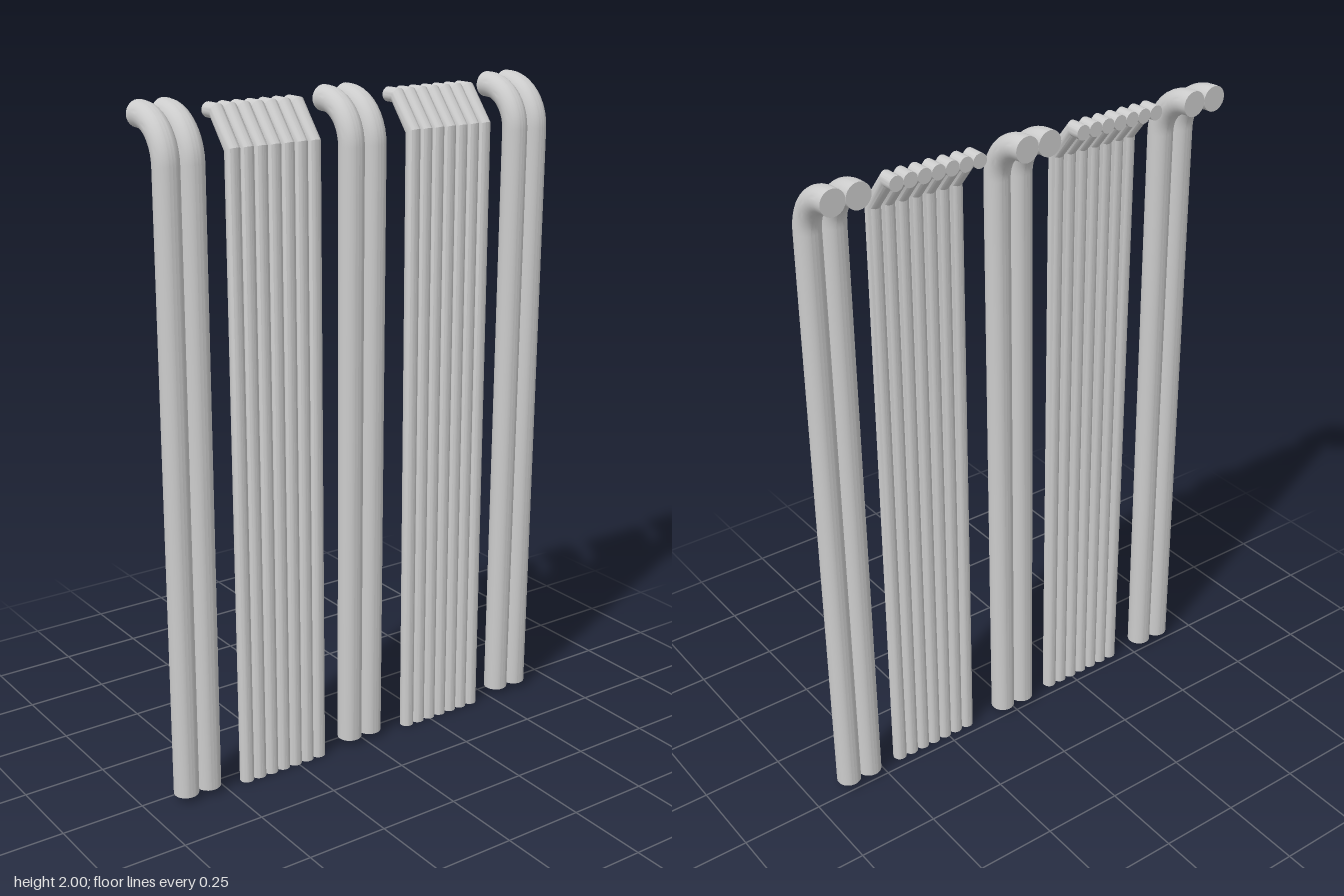
import * as THREE from 'three';
import { toCreasedNormals } from 'three/addons/utils/BufferGeometryUtils.js';

const material = new THREE.MeshStandardMaterial({ color: 0xcccccc });
const SIDES = 24;

// Capped round pipe along a [z, y] path, with mitred joints.
function pipeGeometry(path, radius) {
  const pts = path.map(([z, y]) => new THREE.Vector2(z, y));
  const dirs = pts.slice(1).map((p, i) => p.clone().sub(pts[i]).normalize());
  const pos = [], idx = [];
  pts.forEach((p, k) => {
    const a = dirs[Math.max(k - 1, 0)], b = dirs[Math.min(k, dirs.length - 1)];
    const t = a.clone().add(b).normalize();
    const stretch = radius / t.dot(a);
    for (let i = 0; i < SIDES; i++) {
      const ang = (i / SIDES) * Math.PI * 2;
      const s = Math.sin(ang) * stretch;
      pos.push(Math.cos(ang) * radius, p.y + t.x * s, p.x - t.y * s);
    }
  });
  for (let k = 0; k < pts.length - 1; k++) {
    for (let i = 0; i < SIDES; i++) {
      const j = (i + 1) % SIDES, lo = k * SIDES, up = lo + SIDES;
      idx.push(lo + i, lo + j, up + i, lo + j, up + j, up + i);
    }
  }
  // End caps
  const top = (pts.length - 1) * SIDES;
  for (let i = 1; i < SIDES - 1; i++) {
    idx.push(0, i + 1, i, top, top + i, top + i + 1);
  }
  const geo = new THREE.BufferGeometry();
  geo.setAttribute('position', new THREE.Float32BufferAttribute(pos, 3));
  geo.setIndex(idx);
  return toCreasedNormals(geo, 0.5);
}

export function createModel() {
  const model = new THREE.Group();
  model.name = 'pipeScreen';

  // Thick pipes: slightly leaning shaft, round bend, short level end
  const thickPath = [[0.036, 0.02]];
  const bend = 0.12, cz = -0.072, cy = 1.843;
  for (let i = 0; i <= 10; i++) {
    const a = (i / 10) * Math.PI / 2;
    thickPath.push([cz + bend * Math.cos(a), cy + bend * Math.sin(a)]);
  }
  thickPath.push([-0.088, cy + bend]);
  const thick = pipeGeometry(thickPath, 0.037);

  // Thin pipes: shaft, angled section, short level end
  const thin = pipeGeometry([[0.047, 0], [0.046, 1.868], [-0.03, 1.96], [-0.072, 1.96]], 0.0213);

  const addRow = (name, geo, centre, count, spacing) => {
    const row = new THREE.Group();
    row.name = name;
    for (let i = 0; i < count; i++) {
      const pipe = new THREE.Mesh(geo, material);
      pipe.name = name + 'Pipe' + (i + 1);
      pipe.position.x = centre + (i - (count - 1) / 2) * spacing;
      row.add(pipe);
    }
    model.add(row);
  };

  addRow('rightThickPair', thick, -0.586, 2, 0.074);
  addRow('middleThickPair', thick, -0.006, 2, 0.074);
  addRow('leftThickPair', thick, 0.582, 2, 0.074);
  addRow('rightThinRow', thin, -0.296, 7, 0.0425);
  addRow('leftThinRow', thin, 0.298, 7, 0.0425);

  return model;
}
